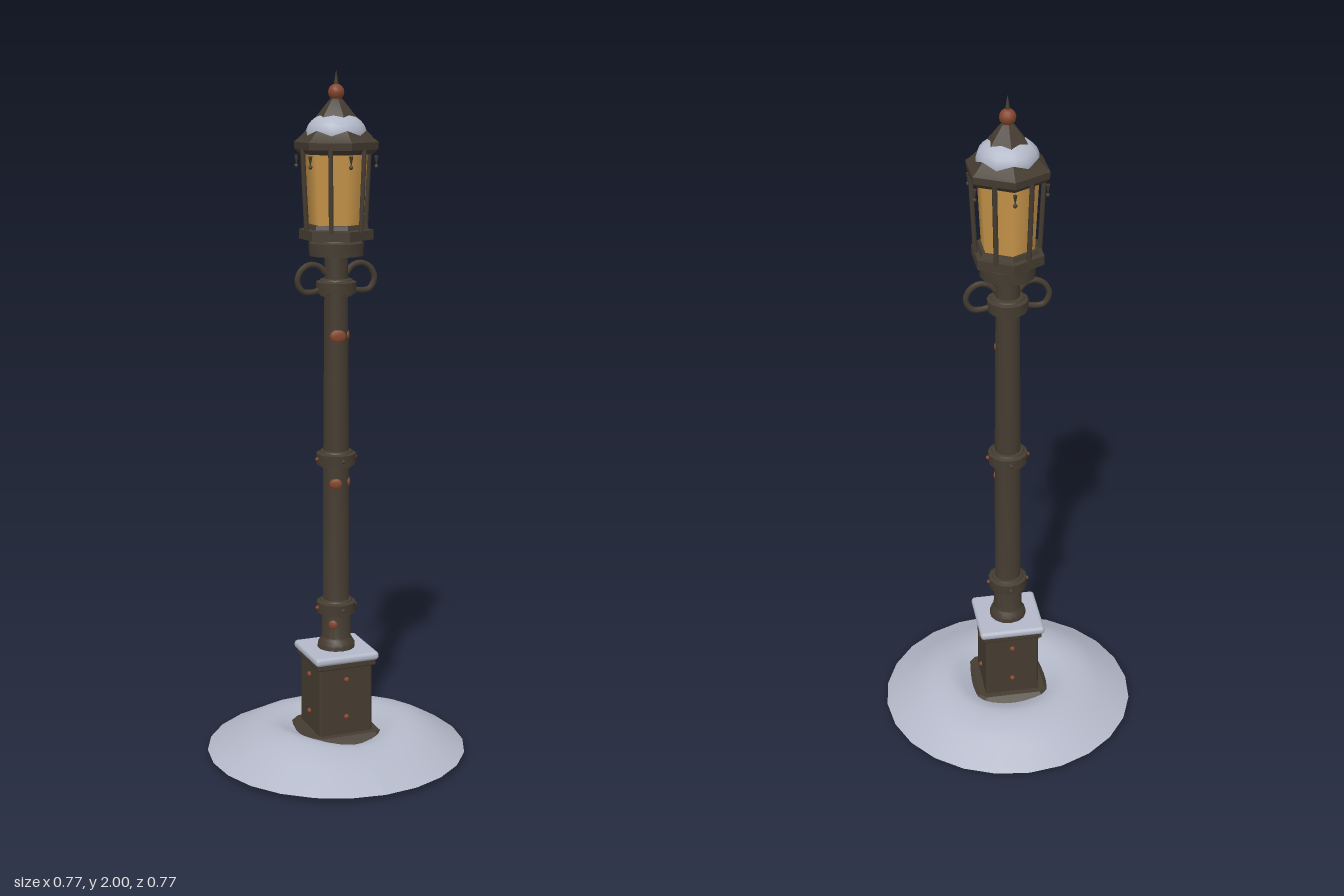
import * as THREE from 'three';
import { toCreasedNormals } from 'three/addons/utils/BufferGeometryUtils.js';
import { RoundedBoxGeometry } from 'three/addons/geometries/RoundedBoxGeometry.js';

export function createModel() {
  const model = new THREE.Group();
  const mat = (name, color, extra = {}) => {
    const m = new THREE.MeshStandardMaterial({ color, ...extra });
    m.name = name;
    return m;
  };
  const iron = mat('dark iron', 0x453c31);
  const rust = mat('rust', 0x84452c);
  const snow = mat('snow', 0xb3b8c8, { side: THREE.DoubleSide });
  const amber = mat('amber glass', 0xc8954a);

  const add = (name, geo, material, x = 0, y = 0, z = 0, parent = model) => {
    const m = new THREE.Mesh(geo, material);
    m.name = name;
    m.position.set(x, y, z);
    parent.add(m);
    return m;
  };
  // Turned part from [radius, height] pairs; six sides give a hard-edged hexagon
  const turned = (name, pts, sides = 14, material = iron) => {
    const geo = new THREE.LatheGeometry(pts.map(p => new THREE.Vector2(...p)), sides);
    return add(name, toCreasedNormals(geo, 0.6), material);
  };
  // Square block between two heights with softened edges
  const block = (name, half, y0, y1, bevel, material) =>
    add(name, new RoundedBoxGeometry(half * 2, y1 - y0, half * 2, 2, bevel), material, 0, (y0 + y1) / 2, 0);
  const E = 0.0005;

  // Snow drift: a ring-shaped mound with an uneven crest and a hollow at the post
  const drift = new THREE.LatheGeometry(
    new THREE.SplineCurve([[0.385, 0.015], [0.33, 0.045], [0.26, 0.08], [0.19, 0.094],
      [0.14, 0.077], [0.1, 0.056], [0.06, 0.05]].map(p => new THREE.Vector2(...p))).getPoints(18), 24);
  const dp = drift.attributes.position;
  for (let i = 0; i < dp.count; i++) {
    const x = dp.getX(i), z = dp.getZ(i), r = Math.hypot(x, z), a = Math.atan2(z, x);
    const fade = Math.max(0, Math.sin(Math.PI * Math.min(1, (0.385 - r) / 0.34)));
    dp.setY(i, dp.getY(i) + fade * (0.008 * Math.cos(2 * a + 0.3) + 0.005 * Math.sin(3 * a + 0.6)));
  }
  drift.computeVertexNormals();
  add('snowDrift', drift, snow);

  // Base plate with clipped corners and sloping edges
  const h = 0.102, c = 0.018;
  const plate = new THREE.Shape([[-h + c, -h], [h - c, -h], [h, -h + c], [h, h - c],
    [h - c, h], [-h + c, h], [-h, h - c], [-h, -h + c]].map(p => new THREE.Vector2(...p)));
  const plateGeo = new THREE.ExtrudeGeometry(plate,
    { depth: 0.042, bevelThickness: 0.02, bevelSize: 0.02, bevelSegments: 1 });
  plateGeo.rotateX(-Math.PI / 2);
  add('basePlate', plateGeo, iron, 0, 0.02, 0);

  // Pedestal, its cap and the snow lying on it
  block('pedestal', 0.083, 0.06, 0.292, 0.01, iron);
  block('pedestalCap', 0.091, 0.285, 0.308, 0.005, iron);
  block('capSnow', 0.099, 0.302, 0.327, 0.011, snow);

  // Pedestal rivets, two on each face
  const rivet = new THREE.SphereGeometry(0.008, 8, 6);
  for (let i = 0; i < 4; i++) {
    const a = i * Math.PI / 2;
    for (const y of [0.135, 0.25])
      add('pedestalRivet', rivet, rust, Math.sin(a) * 0.084, y, Math.cos(a) * 0.084);
  }

  // Post with a flared foot
  turned('post', [[E, 0.31], [0.056, 0.31], [0.055, 0.34], [0.046, 0.355], [0.043, 0.36],
    [0.042, 0.44], [0.039, 0.46], [0.038, 0.9], [0.034, 1.38], [0.033, 1.5], [E, 1.5]]);

  // Collars around the post
  for (const y of [0.452, 0.9, 1.397]) {
    turned('collar', [[0.035, y - 0.026], [0.047, y - 0.024], [0.047, y - 0.019], [0.057, y - 0.017],
      [0.058, y + 0.015], [0.048, y + 0.019], [0.046, y + 0.023], [0.034, y + 0.025]]);
    if (y < 1) for (const a of [0, 1, 2, 3])
      add('collarRivet', new THREE.SphereGeometry(0.006, 8, 6), a % 2 ? rust : iron,
        Math.sin(a * Math.PI / 2) * 0.059, y, Math.cos(a * Math.PI / 2) * 0.059);
  }

  // Rust patches hugging the post: angle from the front, height, width, height size
  for (const [a, y, w, t] of [[-0.2, 1.26, 0.024, 0.019], [1.15, 1.26, 0.015, 0.015],
    [-0.4, 0.83, 0.019, 0.016], [1.1, 0.83, 0.017, 0.015], [-0.6, 0.405, 0.014, 0.014]]) {
    const r = y < 0.45 ? 0.04 : y < 1 ? 0.0355 : 0.0325;
    const patch = add('rustPatch', new THREE.SphereGeometry(1, 10, 6), rust,
      Math.sin(a) * r, y, Math.cos(a) * r);
    patch.scale.set(w, t, 0.006);
    patch.rotation.y = a;
  }

  // Scroll brackets on both sides
  for (const s of [1, -1]) {
    const path = new THREE.CatmullRomCurve3([[0.045, 1.392], [0.075, 1.385], [0.102, 1.389], [0.117, 1.418],
      [0.106, 1.447], [0.08, 1.463], [0.052, 1.458], [0.03, 1.435]]
      .map(([x, y]) => new THREE.Vector3(s * x, y, 0)));
    add('scrollBracket', new THREE.TubeGeometry(path, 28, 0.0085, 6), iron);
  }

  // Lantern support plate and hexagonal floor
  turned('supportPlate', [[E, 1.487], [0.078, 1.487], [0.079, 1.523], [0.06, 1.526], [0.055, 1.54], [E, 1.54]], 12);
  turned('lanternFloor', [[E, 1.533], [0.106, 1.533], [0.106, 1.56], [0.092, 1.563], [0.088, 1.575], [E, 1.575]], 6);

  // Tapered glass
  add('glass', new THREE.CylinderGeometry(0.089, 0.078, 0.21, 6, 1, true), amber, 0, 1.675, 0);

  // Glazing posts, leaning outwards, and drops under the eave corners
  for (let i = 0; i < 6; i++) {
    const a = Math.PI / 2 + i * Math.PI / 3, b = i * Math.PI / 3;
    const at = (r, y) => new THREE.Vector3(Math.sin(a) * r, y, Math.cos(a) * r);
    add('glazingPost', new THREE.TubeGeometry(new THREE.LineCurve3(at(0.089, 1.555), at(0.1, 1.785)), 1, 0.007, 6), iron);
    const x = Math.sin(b) * 0.113, z = Math.cos(b) * 0.113;
    const drop = add('eaveDrop', new THREE.ConeGeometry(0.006, 0.03, 6), iron, x, 1.752, z);
    drop.rotation.x = Math.PI;
    add('eaveDropTip', new THREE.SphereGeometry(0.006, 6, 5), iron, x, 1.737, z);
  }

  // Hexagonal roof with its snow cap
  turned('roof', [[E, 1.77], [0.104, 1.77], [0.118, 1.783], [0.12, 1.803], [0.108, 1.812], [0.08, 1.84],
    [0.052, 1.878], [0.022, 1.915], [0.014, 1.922], [E, 1.922]], 6);
  const cap = add('roofSnow', new THREE.SphereGeometry(1, 12, 8, 0, Math.PI * 2, 0, Math.PI * 0.6), snow, 0, 1.826, 0);
  cap.scale.set(0.086, 0.06, 0.086);

  // Finial
  add('finialBall', new THREE.SphereGeometry(0.023, 12, 8), rust, 0, 1.939, 0);
  add('finialSpike', new THREE.ConeGeometry(0.008, 0.045, 6), iron, 0, 1.9775, 0);

  return model;
}
